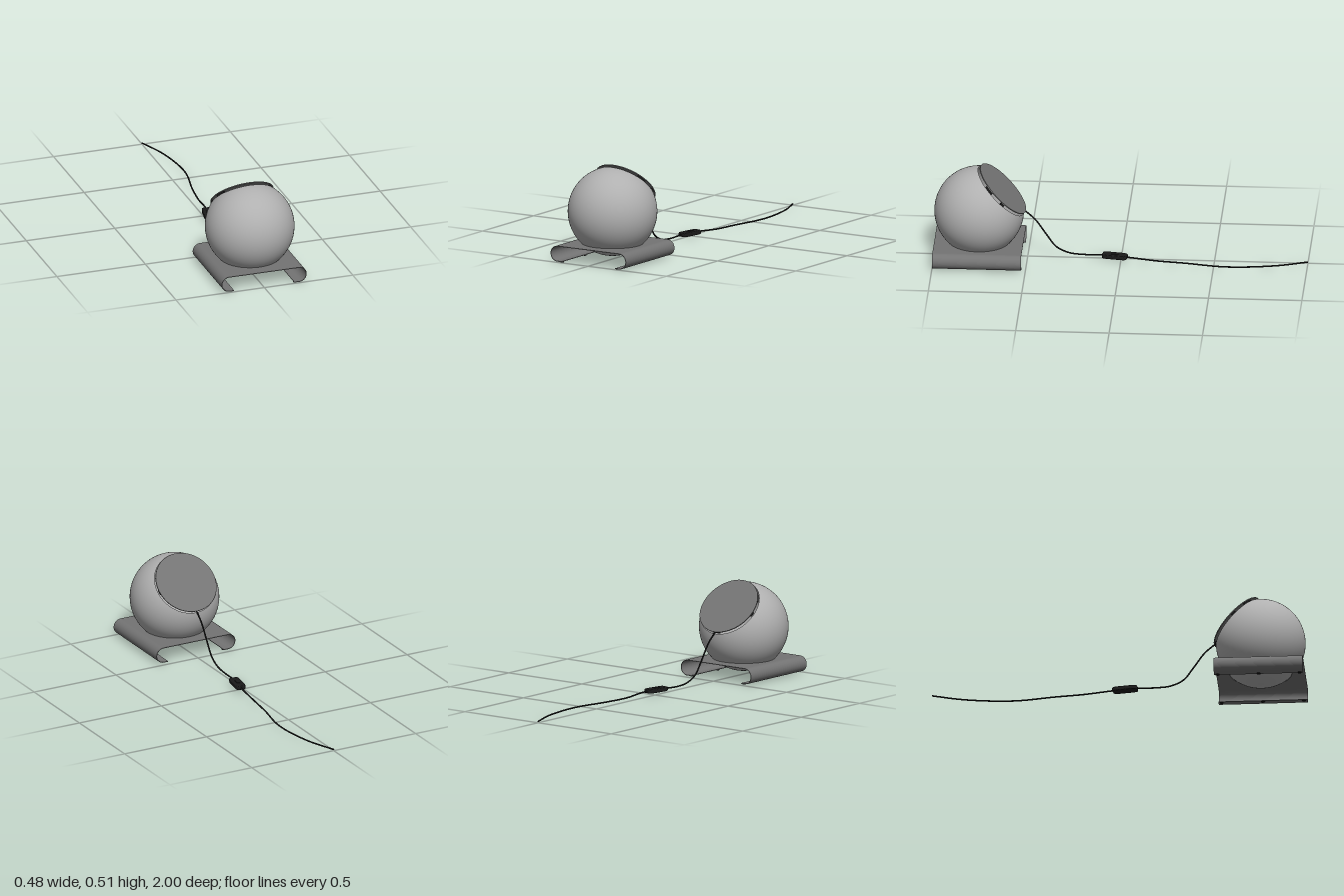
import * as THREE from 'three';
import { RoundedBoxGeometry } from 'three/addons/geometries/RoundedBoxGeometry.js';

const shellGrey = new THREE.MeshStandardMaterial({ color: 0xb0b0b0, side: THREE.DoubleSide });
shellGrey.name = 'light grey shell';
const metalGrey = new THREE.MeshStandardMaterial({ color: 0x747474 });
metalGrey.name = 'dark grey metal';
const black = new THREE.MeshStandardMaterial({ color: 0x1a1a1a });
black.name = 'black plastic';

const V = (x, y, z) => new THREE.Vector3(x, y, z);

function add(parent, name, geometry, material, x = 0, y = 0, z = 0) {
  const mesh = new THREE.Mesh(geometry, material);
  mesh.name = name;
  mesh.position.set(x, y, z);
  parent.add(mesh);
  return mesh;
}

// Globe with an opening tilted up and back, closed by a raised disc
function buildHead() {
  const head = new THREE.Group();
  head.name = 'head';
  const R = 0.2395, cut = 0.165;
  const open = Math.acos(cut / R);
  add(head, 'globe', new THREE.SphereGeometry(R, 72, 48, 0, Math.PI * 2, open, Math.PI - open), shellGrey);
  add(head, 'coverDisc', new THREE.CylinderGeometry(0.173, 0.173, 0.005, 72), metalGrey, 0, 0.18, 0);
  // Short spacers hold the disc off the rim
  for (const deg of [60, 97, 180, 263, 300]) {
    const a = THREE.MathUtils.degToRad(deg);
    const width = deg === 97 || deg === 263 ? 0.025 : 0.05;
    const spacer = add(head, 'spacer', new THREE.BoxGeometry(width, 0.016, 0.008), black,
      Math.sin(a) * 0.163, 0.17, Math.cos(a) * 0.163);
    spacer.rotation.y = a;
  }
  head.position.set(0, 0.261, 0.76);
  head.rotation.x = -Math.PI / 4;
  return head;
}

// Bent sheet stand: flat top with a round hole, curled sides, small feet
function buildStand() {
  const stand = new THREE.Group();
  stand.name = 'stand';
  const t = 0.003, depth = 0.476, bendX = 0.1975, r = 0.0425, cy = 0.0465;

  const top = new THREE.Shape();
  top.moveTo(-bendX, -depth / 2);
  top.lineTo(bendX, -depth / 2);
  top.lineTo(bendX, depth / 2);
  top.lineTo(-bendX, depth / 2);
  top.closePath();
  top.holes.push(new THREE.Path().absarc(0, 0, 0.166, 0, Math.PI * 2, true));
  const topGeo = new THREE.ExtrudeGeometry(top, { depth: t, bevelEnabled: false, curveSegments: 36 });
  topGeo.rotateX(-Math.PI / 2);
  add(stand, 'topPlate', topGeo, metalGrey, 0, cy + r - t, 0);

  for (const side of [1, -1]) {
    const curl = new THREE.Shape();
    curl.moveTo(0, r);
    curl.absarc(0, 0, r, Math.PI / 2, -Math.PI / 2, true);
    curl.lineTo(-0.0275, -r);
    curl.lineTo(-0.0275, -r + t);
    curl.lineTo(0, -r + t);
    curl.absarc(0, 0, r - t, -Math.PI / 2, Math.PI / 2, false);
    curl.closePath();
    const geo = new THREE.ExtrudeGeometry(curl, { depth, bevelEnabled: false, curveSegments: 24 });
    geo.translate(0, 0, -depth / 2);
    const mesh = add(stand, 'sideCurl', geo, metalGrey, side * bendX, cy, 0);
    if (side < 0) mesh.rotation.y = Math.PI;
    for (const z of [-0.22, 0, 0.22]) {
      add(stand, 'foot', new THREE.CylinderGeometry(0.01, 0.01, 0.004, 16), black, side * 0.178, 0.002, z);
    }
  }
  stand.position.z = 0.76;
  return stand;
}

// Power cord running back along the floor
function buildCord() {
  const cord = new THREE.Group();
  cord.name = 'cord';
  const path = new THREE.CatmullRomCurve3([
    V(0, 0.272, 0.524), V(0, 0.215, 0.46), V(0, 0.13, 0.4), V(0, 0.06, 0.347),
    V(0, 0.027, 0.28), V(0, 0.018, 0.2), V(0.005, 0.021, 0.1), V(0.017, 0.022, 0.03),
    V(0.033, 0.02, -0.06), V(0.04, 0.009, -0.19), V(0.058, 0.007, -0.35),
    V(0.09, 0.007, -0.53), V(0.09, 0.007, -0.65), V(0.058, 0.007, -0.84), V(0, 0.007, -1),
  ]);
  add(cord, 'cable', new THREE.TubeGeometry(path, 160, 0.0042, 10), black);
  add(cord, 'cableEnd', new THREE.CylinderGeometry(0.0042, 0.0042, 0.002, 10), black, 0, 0.007, -0.999)
    .rotation.x = Math.PI / 2;

  // Inline switch with narrowed ends and a rocker
  const body = new THREE.Group();
  body.name = 'inlineSwitch';
  const shape = new THREE.Shape();
  const w = 0.024, e = 0.013, l = 0.064, s = 0.036;
  shape.moveTo(-e, -l);
  shape.lineTo(e, -l);
  shape.quadraticCurveTo(w, -l, w, -s);
  shape.lineTo(w, s);
  shape.quadraticCurveTo(w, l, e, l);
  shape.lineTo(-e, l);
  shape.quadraticCurveTo(-w, l, -w, s);
  shape.lineTo(-w, -s);
  shape.quadraticCurveTo(-w, -l, -e, -l);
  const geo = new THREE.ExtrudeGeometry(shape, {
    depth: 0.012, bevelThickness: 0.005, bevelSize: 0.004, bevelSegments: 3, curveSegments: 8,
  });
  geo.rotateX(-Math.PI / 2);
  add(body, 'switchBody', geo, black, 0, -0.006, 0);
  add(body, 'rocker', new RoundedBoxGeometry(0.018, 0.008, 0.04, 2, 0.003), black, 0, 0.01, 0);
  body.position.set(0.018, 0.022, 0.033);
  body.rotation.y = -0.16;
  cord.add(body);
  return cord;
}

export function createModel() {
  const model = new THREE.Group();
  model.name = 'globeLamp';
  model.add(buildHead(), buildStand(), buildCord());
  return model;
}
